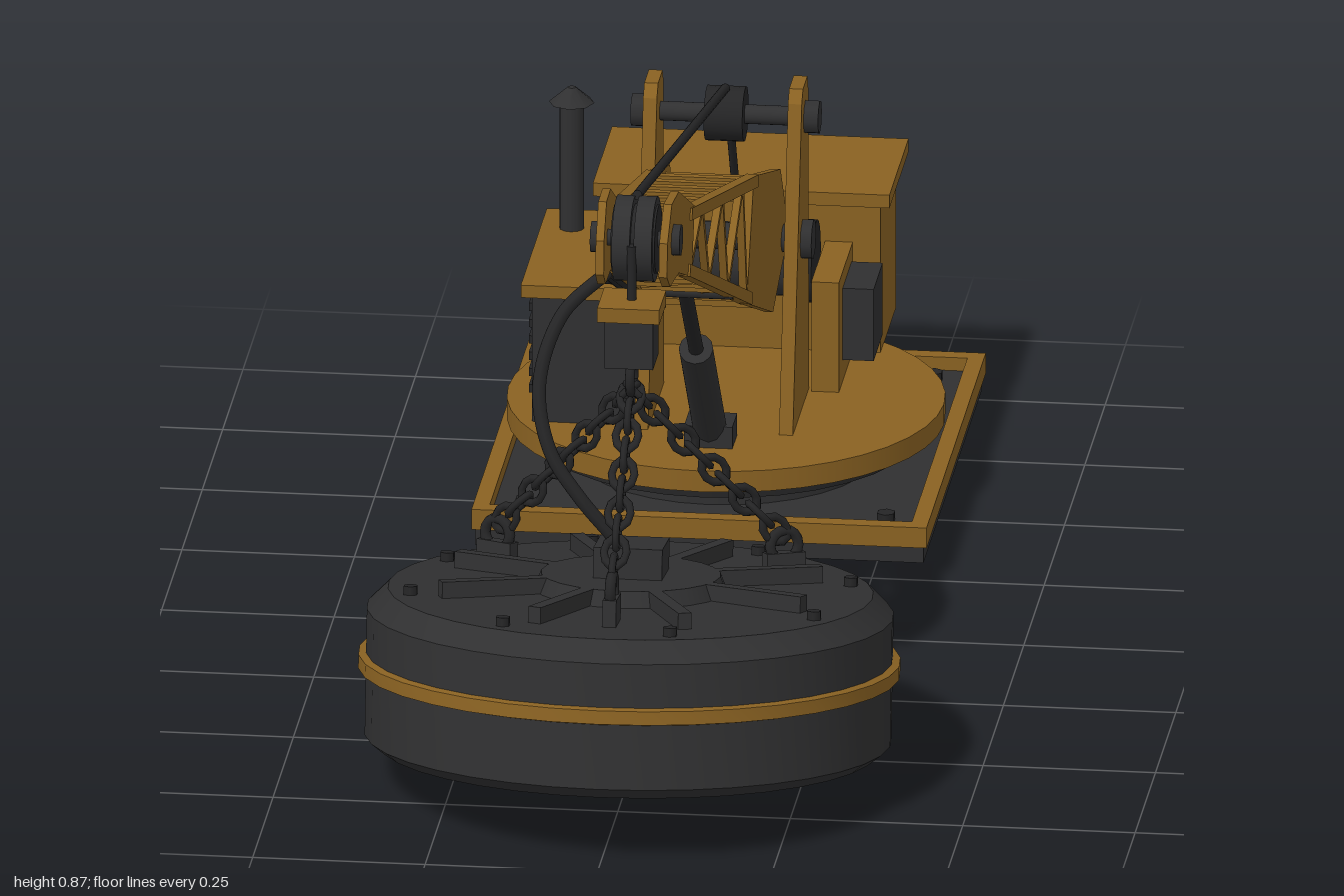
import * as THREE from 'three';
import { toCreasedNormals } from 'three/addons/utils/BufferGeometryUtils.js';

const paint = (name, color) => {
  const m = new THREE.MeshStandardMaterial({ color });
  m.name = name;
  return m;
};
const V = (x, y, z) => new THREE.Vector3(x, y, z);

export function createModel() {
  const yellow = paint('ochre paint', 0x8a6222);
  const dark = paint('dark steel', 0x303031);
  const black = paint('black iron', 0x252526);
  const copper = paint('copper coil', 0x8c5836);

  const model = new THREE.Group();
  model.name = 'magnetCrane';
  const section = (name, parent = model) => {
    const g = new THREE.Group();
    g.name = name;
    parent.add(g);
    return g;
  };
  const add = (parent, name, geo, mat, x = 0, y = 0, z = 0) => {
    const m = new THREE.Mesh(geo, mat);
    m.name = name;
    m.position.set(x, y, z);
    parent.add(m);
    return m;
  };
  // box given by its lower and upper corners
  const box = (parent, name, mat, x0, x1, y0, y1, z0, z1) =>
    add(parent, name, new THREE.BoxGeometry(x1 - x0, y1 - y0, z1 - z0), mat, (x0 + x1) / 2, (y0 + y1) / 2, (z0 + z1) / 2);
  const disc = (parent, name, mat, r, y0, y1, x, z, n = 32, rTop = r) =>
    add(parent, name, new THREE.CylinderGeometry(rTop, r, y1 - y0, n), mat, x, (y0 + y1) / 2, z);
  // cylinder lying along x
  const axle = (parent, name, mat, r, x0, x1, y, z, n = 20) =>
    add(parent, name, new THREE.CylinderGeometry(r, r, x1 - x0, n).rotateZ(Math.PI / 2), mat, (x0 + x1) / 2, y, z);
  // square bar or round rod between two points
  const bar = (parent, name, mat, a, b, w, round = false) => {
    const len = a.distanceTo(b);
    const geo = round ? new THREE.CylinderGeometry(w / 2, w / 2, len, 12).rotateX(Math.PI / 2) : new THREE.BoxGeometry(w, w, len);
    const m = add(parent, name, geo, mat);
    m.position.copy(a).add(b).multiplyScalar(0.5);
    m.lookAt(b);
    return m;
  };
  const tube = (parent, name, mat, pts, r, n = 40) =>
    add(parent, name, new THREE.TubeGeometry(new THREE.CatmullRomCurve3(pts), n, r, 8), mat);
  // plate cut from a [z, y] outline, t thick along x
  const plate = (pts, t) => {
    const geo = new THREE.ExtrudeGeometry(new THREE.Shape(pts.map(p => new THREE.Vector2(...p))), { depth: t, bevelEnabled: false });
    return geo.translate(0, 0, -t / 2).rotateY(-Math.PI / 2);
  };

  // Base pad with raised frame
  const base = section('base');
  box(base, 'baseSlab', dark, -0.325, 0.325, 0.04, 0.075, -0.97, -0.25);
  for (const s of [-1, 1]) {
    box(base, 'frameSide', yellow, s * 0.318 - 0.012, s * 0.318 + 0.012, 0.064, 0.095, -0.975, -0.247);
    box(base, 'frameEnd', yellow, -0.306, 0.306, 0.064, 0.095, -0.611 + s * 0.352 - 0.012, -0.611 + s * 0.352 + 0.012);
    for (const z of [-0.91, -0.325]) disc(base, 'baseBolt', black, 0.014, 0.075, 0.088, s * 0.262, z, 6);
  }

  // Turntable
  const deck = section('turntable');
  disc(deck, 'slewRing', dark, 0.22, 0.07, 0.11, 0, -0.58);
  disc(deck, 'bearing', black, 0.28, 0.108, 0.13, 0, -0.58);
  disc(deck, 'deckPlate', yellow, 0.316, 0.13, 0.162, 0, -0.58, 40);

  // Counterweight and machinery
  const house = section('machinery');
  box(house, 'counterweight', yellow, -0.2, 0.2, 0.16, 0.392, -0.975, -0.78);
  box(house, 'counterweightBack', dark, -0.19, 0.19, 0.17, 0.385, -0.98, -0.972);
  box(house, 'counterweightLid', yellow, -0.215, 0.215, 0.39, 0.41, -1, -0.765);
  box(house, 'engineBox', dark, -0.265, -0.125, 0.16, 0.356, -0.74, -0.44);
  box(house, 'engineLid', yellow, -0.28, -0.115, 0.355, 0.374, -0.75, -0.43);
  for (let i = 0; i < 6; i++)
    box(house, 'louvre', black, -0.273, -0.264, 0.195 + i * 0.025, 0.207 + i * 0.025, -0.71, -0.47);
  box(house, 'winchWall', yellow, 0.12, 0.16, 0.16, 0.33, -0.785, -0.61);
  box(house, 'controlBox', dark, 0.16, 0.205, 0.195, 0.305, -0.767, -0.656);
  axle(house, 'winchDrum', dark, 0.052, -0.1, 0.1, 0.325, -0.71);
  for (const s of [-1, 1]) axle(house, 'drumFlange', black, 0.06, s * 0.105 - 0.01, s * 0.105 + 0.01, 0.325, -0.71);
  disc(house, 'exhaustPipe', dark, 0.018, 0.37, 0.565, -0.235, -0.675, 12);
  disc(house, 'exhaustCap', dark, 0.033, 0.567, 0.59, -0.235, -0.675, 8, 0.006);

  // Mast cheeks and shafts
  const mast = section('mast');
  for (const s of [-1, 1]) {
    add(mast, 'mastCheek', plate([[-0.425, 0.16], [-0.535, 0.63], [-0.55, 0.648], [-0.605, 0.648], [-0.615, 0.63], [-0.625, 0.16]], 0.02), yellow, s * 0.105);
    axle(mast, 'sheaveHub', dark, 0.025, s * 0.125 - 0.011, s * 0.125 + 0.011, 0.595, -0.58, 8);
    axle(mast, 'pivotHub', dark, 0.03, s * 0.122 - 0.009, s * 0.122 + 0.009, 0.42, -0.545, 8);
  }
  axle(mast, 'sheaveShaft', dark, 0.014, -0.13, 0.13, 0.595, -0.58);
  axle(mast, 'pivotShaft', dark, 0.02, -0.12, 0.12, 0.42, -0.545);
  axle(mast, 'mastSheave', black, 0.04, -0.028, 0.028, 0.595, -0.58);

  // Lattice boom, narrowing toward the head
  const boom = section('boom');
  const half = z => 0.064 - 0.031 * z;
  const top = t => [THREE.MathUtils.lerp(-0.26, 0.33, t), THREE.MathUtils.lerp(0.611, 0.781, t)];
  const low = t => [THREE.MathUtils.lerp(-0.2, 0.35, t), THREE.MathUtils.lerp(0.456, 0.698, t)];
  const footShape = [[-0.26, 0.62], [-0.52, 0.535], [-0.575, 0.45], [-0.575, 0.4], [-0.53, 0.38], [-0.447, 0.342], [-0.19, 0.45]];
  const headShape = [[0.586, 0.775], [0.58, 0.825], [0.538, 0.87], [0.47, 0.865], [0.315, 0.786], [0.345, 0.688], [0.47, 0.74], [0.555, 0.75]];
  for (const s of [-1, 1]) {
    const at = ([z, y]) => V(s * half(z), y, z);
    for (const [name, pts] of [['boomFoot', footShape], ['boomHead', headShape]]) {
      const geo = plate(pts, 0.012);
      const p = geo.attributes.position;
      for (let i = 0; i < p.count; i++) p.setX(i, p.getX(i) + s * half(p.getZ(i)));
      geo.computeVertexNormals();
      add(boom, name, geo, yellow);
    }
    bar(boom, 'upperChord', yellow, at(top(-0.05)), at(top(1.05)), 0.018);
    bar(boom, 'lowerChord', yellow, at(low(-0.05)), at(low(1.05)), 0.018);
    for (let i = 0; i < 3; i++) {
      bar(boom, 'sideBrace', yellow, at(low(i / 3)), at(top((i + 0.5) / 3)), 0.011);
      bar(boom, 'sideBrace', yellow, at(top((i + 0.5) / 3)), at(low((i + 1) / 3)), 0.011);
    }
    axle(boom, 'headHub', dark, 0.024, s * 0.058 - 0.007, s * 0.058 + 0.007, 0.81, 0.522, 8);
  }
  const cross = ([z, y], [z2, y2], w) => bar(boom, 'crossBrace', yellow, V(-half(z), y, z), V(half(z2), y2, z2), w);
  for (let i = 0; i <= 6; i++) {
    const t = i / 6;
    cross(top(t), top(t), 0.011);
    cross(low(t), low(t), 0.011);
    if (i % 2 === 0 && i < 6) cross(low(t), low(t + 1 / 3), 0.009);
  }
  cross([-0.45, 0.36], [-0.45, 0.36], 0.02);
  cross([-0.44, 0.54], [-0.44, 0.54], 0.02);
  axle(boom, 'headShaft', dark, 0.012, -0.06, 0.06, 0.81, 0.522);
  for (const x of [-0.016, 0.016]) {
    axle(boom, 'headSheave', dark, 0.062, x - 0.013, x + 0.013, 0.81, 0.522, 24);
    axle(boom, 'sheaveCore', black, 0.05, x - 0.016, x + 0.016, 0.81, 0.522, 24);
  }

  // Lifting ram
  const ram = section('ram');
  box(ram, 'ramBracket', dark, -0.035, 0.035, 0.16, 0.195, -0.42, -0.36);
  bar(ram, 'ramBarrel', dark, V(0, 0.175, -0.39), V(0, 0.37, -0.21), 0.05, true);
  bar(ram, 'ramRod', black, V(0, 0.36, -0.22), V(0, 0.51, -0.075), 0.022, true);
  axle(ram, 'ramPin', dark, 0.012, -0.07, 0.07, 0.51, -0.075, 8);

  // Ropes and power cable
  const lines = section('ropes');
  bar(lines, 'boomRope', black, V(0, 0.637, -0.57), V(0, 0.872, 0.51), 0.014, true);
  bar(lines, 'winchRope', black, V(0, 0.58, -0.618), V(0, 0.345, -0.75), 0.012, true);
  bar(lines, 'hoistRope', black, V(0, 0.82, 0.58), V(0, 0.72, 0.58), 0.014, true);
  tube(lines, 'boomCable', black, [V(-0.19, 0.36, -0.46), V(-0.15, 0.41, -0.38), V(-0.09, 0.435, -0.27), V(-0.083, 0.46, -0.18), V(-0.07, 0.57, 0.08), V(-0.062, 0.69, 0.35)], 0.009);
  tube(lines, 'magnetCable', black, [V(-0.05, 0.73, 0.45), V(-0.11, 0.68, 0.5), V(-0.138, 0.59, 0.545), V(-0.12, 0.5, 0.575), V(-0.075, 0.43, 0.582), V(-0.03, 0.375, 0.58)], 0.01);

  // Hook block
  const hook = section('hookBlock');
  box(hook, 'hookPlate', yellow, -0.045, 0.045, 0.716, 0.738, 0.537, 0.623);
  box(hook, 'hookBody', dark, -0.035, 0.035, 0.643, 0.716, 0.545, 0.615);
  add(hook, 'hookRing', new THREE.TorusGeometry(0.023, 0.007, 8, 20).rotateY(Math.PI / 2), black, 0, 0.618, 0.58);

  // Tilted lifting magnet
  const magnet = section('magnet');
  magnet.position.set(0, 0.182, 0.61);
  magnet.rotation.x = -0.15;
  const lathe = (pts, n) => toCreasedNormals(new THREE.LatheGeometry(pts.map(p => new THREE.Vector2(...p)), n), 0.45);
  add(magnet, 'magnetBody', lathe([[0, -0.108], [0.245, -0.108], [0.245, -0.095], [0.33, -0.095], [0.335, -0.116], [0.36, -0.116],
    [0.38, -0.1], [0.38, 0.085], [0.35, 0.115], [0, 0.118]], 36), dark);
  add(magnet, 'magnetBelt', lathe([[0.375, -0.006], [0.391, -0.002], [0.391, 0.018], [0.375, 0.022]], 36), yellow);
  const ring = (name, mat, r, t, y) => add(magnet, name, new THREE.TorusGeometry(r, t, 6, 36).rotateX(Math.PI / 2), mat, 0, y, 0);
  for (let i = 0; i < 5; i++) ring('coilTurn', copper, 0.258 + i * 0.015, 0.008, -0.098);
  for (const r of [0.09, 0.135, 0.18, 0.225]) ring('poleRing', black, r, 0.006, -0.108);
  disc(magnet, 'magnetHub', dark, 0.14, 0.115, 0.14, 0, 0, 24, 0.13);
  box(magnet, 'terminalBox', dark, -0.05, 0.05, 0.138, 0.185, -0.045, 0.045);
  for (let i = 0; i < 8; i++) {
    const a = (i + 0.5) * Math.PI / 4;
    const rib = add(magnet, 'rib', new THREE.BoxGeometry(0.17, 0.024, 0.02), dark, Math.cos(a) * 0.2, 0.128, Math.sin(a) * 0.2);
    rib.rotation.y = -a;
    disc(magnet, 'magnetBolt', black, 0.011, 0.115, 0.128, Math.cos(a + 0.1) * 0.322, Math.sin(a + 0.1) * 0.322, 6);
  }

  // Three chains from the ring to the magnet lugs
  const chains = section('chains');
  magnet.updateMatrix();
  const linkGeo = new THREE.TorusGeometry(0.0165, 0.0058, 6, 10).scale(1, 1.4, 1).rotateX(Math.PI / 2);
  for (let k = 0; k < 3; k++) {
    const a = k * Math.PI * 2 / 3;
    const x = Math.sin(a) * 0.24, z = Math.cos(a) * 0.24;
    const lug = add(magnet, 'chainLug', new THREE.BoxGeometry(0.02, 0.04, 0.06), dark, x, 0.135, z);
    lug.rotation.y = a;
    const eye = add(magnet, 'lugEye', new THREE.TorusGeometry(0.022, 0.008, 8, 16), black, x, 0.165, z);
    eye.rotation.y = a + Math.PI / 2;
    const end = V(x, 0.175, z).applyMatrix4(magnet.matrix);
    const start = V(0, 0.6, 0.58);
    const count = 10;
    for (let i = 0; i < count; i++) {
      const link = add(chains, 'chainLink', linkGeo, black);
      link.position.lerpVectors(start, end, (i + 0.4) / count);
      link.lookAt(end);
      link.rotateZ(i % 2 ? Math.PI / 2 : 0);
    }
  }
  return model;
}
